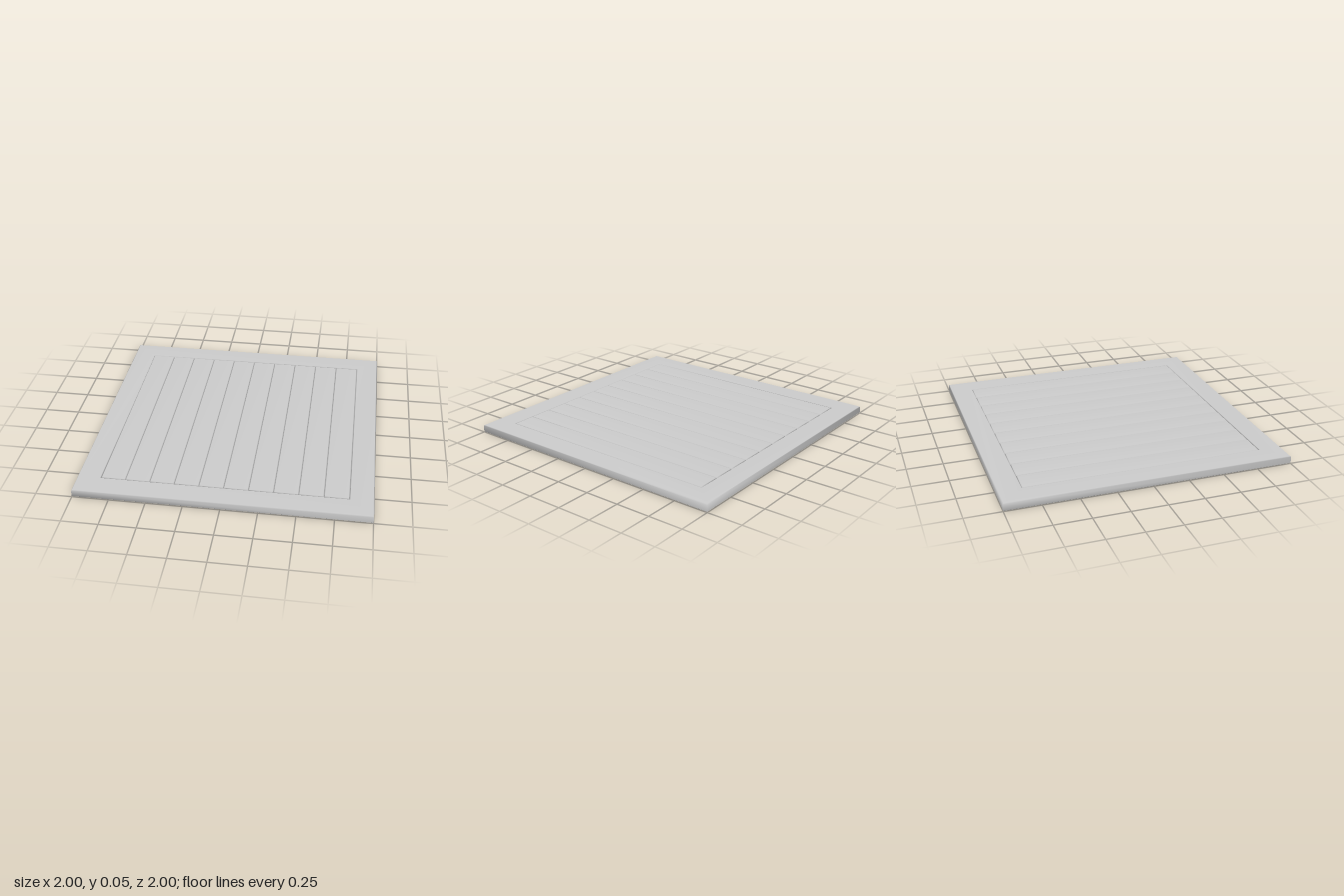
import * as THREE from 'three';

const HEIGHT = 0.055;    // panel thickness
const INNER = 0.838;     // half width of the frame opening
const BEVEL = 0.006;
const PLANKS = 10;

// Rectangular rings, one per [inset, y] profile point, with smooth shared normals.
// A closed profile makes a mitred frame; an open one is capped into a solid block.
function loftRectangle(halfX, halfZ, profile, closed) {
  const corners = [[1, -1], [1, 1], [-1, 1], [-1, -1]];
  const positions = [];
  const index = [];
  for (const [inset, y] of profile) {
    for (const [sx, sz] of corners) positions.push(sx * (halfX - inset), y, sz * (halfZ - inset));
  }
  const n = profile.length;
  for (let i = 0; i < (closed ? n : n - 1); i++) {
    const up = (i + 1) % n;
    for (let j = 0; j < 4; j++) {
      const k = (j + 1) % 4;
      const a = i * 4 + j, b = up * 4 + j, c = up * 4 + k, d = i * 4 + k;
      index.push(a, b, c, a, c, d);
    }
  }
  if (!closed) {
    const t = (n - 1) * 4;
    index.push(0, 1, 2, 0, 2, 3, t, t + 2, t + 1, t, t + 3, t + 2);
  }
  const geometry = new THREE.BufferGeometry();
  geometry.setAttribute('position', new THREE.Float32BufferAttribute(positions, 3));
  geometry.setIndex(index);
  geometry.computeVertexNormals();
  return geometry;
}

export function createModel() {
  const group = new THREE.Group();
  group.name = 'plankPanel';
  const material = new THREE.MeshStandardMaterial({ color: 0xcccccc });

  // Mitred border with bevelled edges
  const w = 1 - INNER;
  const frame = new THREE.Mesh(loftRectangle(1, 1, [
    [BEVEL, 0], [0, BEVEL], [0, HEIGHT - BEVEL], [BEVEL, HEIGHT],
    [w - BEVEL, HEIGHT], [w, HEIGHT - BEVEL], [w, BEVEL], [w - BEVEL, 0],
  ], true), material);
  frame.name = 'frame';
  group.add(frame);

  // Row of bevelled planks filling the opening
  const pitch = (2 * INNER) / PLANKS;
  const plankGeometry = loftRectangle(pitch / 2, INNER, [
    [BEVEL, 0], [0, BEVEL], [0, HEIGHT - BEVEL], [BEVEL, HEIGHT],
  ], false);
  const planks = new THREE.Group();
  planks.name = 'planks';
  for (let i = 0; i < PLANKS; i++) {
    const plank = new THREE.Mesh(plankGeometry, material);
    plank.name = `plank${i + 1}`;
    plank.position.x = -INNER + (i + 0.5) * pitch;
    planks.add(plank);
  }
  group.add(planks);

  return group;
}
